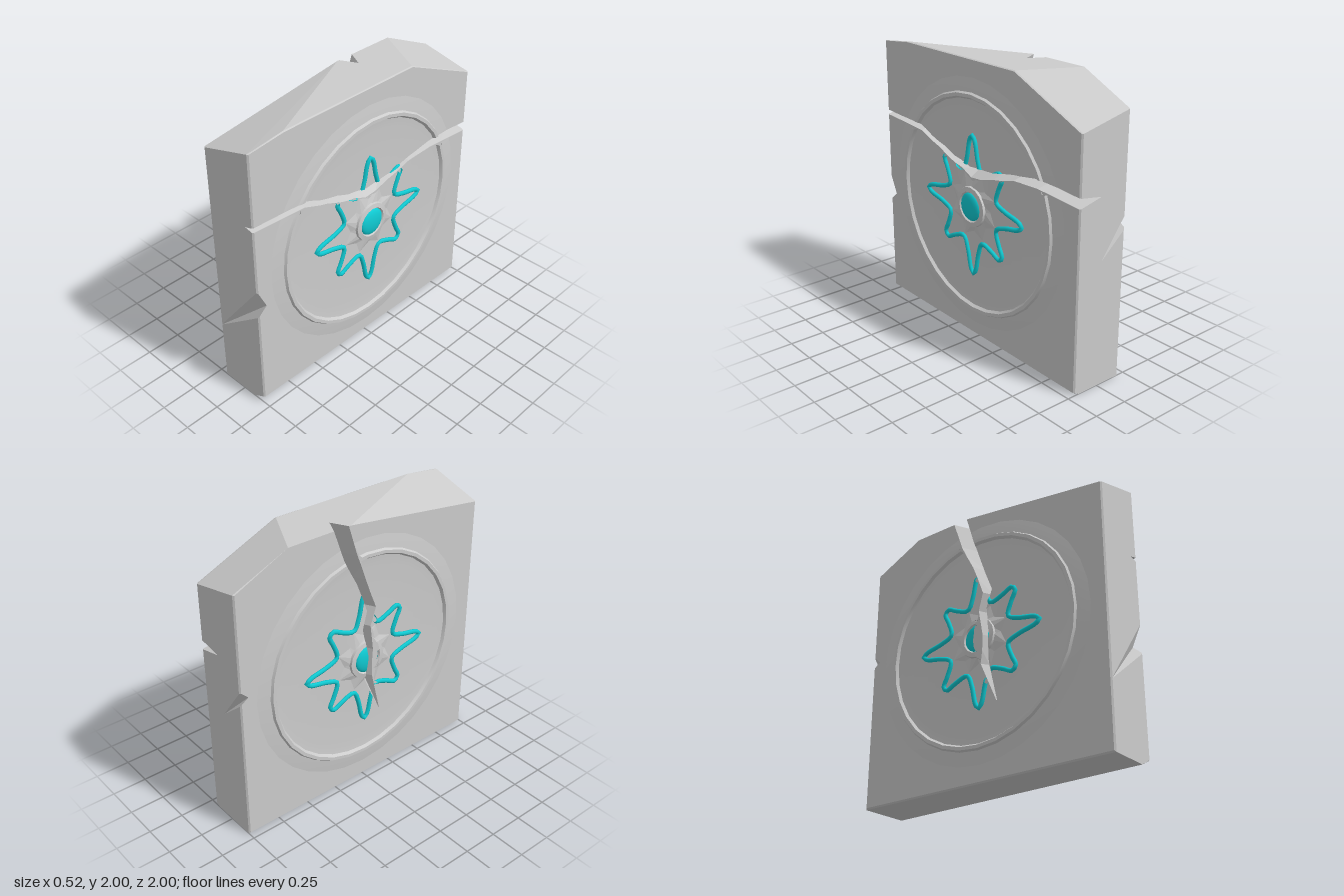
import * as THREE from 'three';
import { toCreasedNormals } from 'three/addons/utils/BufferGeometryUtils.js';
import { ConvexGeometry } from 'three/addons/geometries/ConvexGeometry.js';

const V = (x, y, z) => new THREE.Vector3(x, y, z);
const stone = new THREE.MeshStandardMaterial({ color: 0xcccccc, side: THREE.DoubleSide });
const glow = new THREE.MeshStandardMaterial({ color: 0x10ccd4, side: THREE.DoubleSide });

// --- polygon helpers: a polygon is a list of { p, n } corners ---
function toPolys(geometry) {
  const g = geometry.index ? geometry.toNonIndexed() : geometry;
  const { position, normal } = g.attributes;
  const polys = [];
  for (let i = 0; i < position.count; i += 3) {
    polys.push([0, 1, 2].map(k => ({
      p: V().fromBufferAttribute(position, i + k), n: V().fromBufferAttribute(normal, i + k),
    })));
  }
  return polys;
}

function toMesh(name, polys, material) {
  const pos = [], nor = [];
  for (const poly of polys) {
    for (let i = 1; i < poly.length - 1; i++) {
      for (const c of [poly[0], poly[i], poly[i + 1]]) {
        pos.push(c.p.x, c.p.y, c.p.z);
        nor.push(c.n.x, c.n.y, c.n.z);
      }
    }
  }
  const g = new THREE.BufferGeometry();
  g.setAttribute('position', new THREE.Float32BufferAttribute(pos, 3));
  g.setAttribute('normal', new THREE.Float32BufferAttribute(nor, 3));
  const mesh = new THREE.Mesh(g, material);
  mesh.name = name;
  return mesh;
}

// Split a polygon by a plane into [outside, inside]; a missing half is null
function split(poly, plane) {
  const d = poly.map(c => {
    const v = plane.distanceToPoint(c.p);
    return Math.abs(v) < 1e-6 ? 0 : v;
  });
  if (!d.some(v => v > 0)) return [null, poly];
  if (!d.some(v => v < 0)) return [poly, null];
  const outside = [], inside = [];
  poly.forEach((a, i) => {
    const j = (i + 1) % poly.length, b = poly[j];
    if (d[i] >= 0) outside.push(a);
    if (d[i] <= 0) inside.push(a);
    if (d[i] * d[j] < 0) {
      const t = d[i] / (d[i] - d[j]);
      const c = { p: a.p.clone().lerp(b.p, t), n: a.n.clone().lerp(b.n, t).normalize() };
      outside.push(c);
      inside.push(c);
    }
  });
  return [outside, inside];
}

// Outward planes of a tetrahedron, or null when it is flat
function tetraPlanes(t) {
  const volume = t[1].clone().sub(t[0]).cross(t[2].clone().sub(t[0])).dot(t[3].clone().sub(t[0]));
  if (Math.abs(volume) < 1e-9) return null;
  return [0, 1, 2, 3].map(k => {
    const [a, b, c] = t.filter((_, i) => i !== k);
    const plane = new THREE.Plane().setFromCoplanarPoints(a, b, c);
    return plane.distanceToPoint(t[k]) > 0 ? plane.negate() : plane;
  });
}

// Remove everything that lies inside the cutters
function carve(polys, cutters) {
  for (const planes of cutters) {
    polys = polys.flatMap(poly => {
      const kept = [];
      let rest = poly;
      for (const plane of planes) {
        const [o, i] = split(rest, plane);
        if (!i) return [poly];
        if (o) kept.push(o);
        rest = i;
      }
      return kept;
    });
  }
  return polys;
}

// V-shaped groove through stations [lipA, lipB, bottom]: its cutters and wall polygons
function groove(stations, reach) {
  const S = stations.map(([a, b, c, depth]) => {
    const k = 1 + reach / Math.max(depth, 0.03);
    return [c.clone().lerp(a, k), c.clone().lerp(b, k), c];
  });
  const cutters = [], walls = [];
  for (let i = 0; i < S.length - 1; i++) {
    const [A0, B0, C0] = S[i], [A1, B1, C1] = S[i + 1];
    for (const t of [[A0, B0, C0, C1], [A0, B0, B1, C1], [A0, A1, B1, C1]]) {
      const planes = tetraPlanes(t);
      if (planes) cutters.push(planes);
    }
    for (const [a, b, c, toward] of [[A0, C0, C1, B1], [A0, C1, A1, B1], [B0, C0, C1, A1], [B0, C1, B1, A1]]) {
      const n = b.clone().sub(a).cross(c.clone().sub(a));
      if (n.length() < 1e-9) continue;
      n.normalize();
      const flip = n.dot(toward.clone().sub(c)) < 0;
      if (flip) n.negate();
      walls.push((flip ? [a, c, b] : [a, b, c]).map(p => ({ p, n })));
    }
  }
  return { cutters, walls };
}

export function createModel() {
  const group = new THREE.Group();

  // Slab: uneven top, bevelled bottom edge, slim bevels on the upright edges
  const corners = [];
  const addEdge = (x, z, top, bottom) => corners.push(
    V(x, top, z * 0.99), V(x * 0.95, top, z), V(x, bottom, z * 0.99), V(x * 0.95, bottom, z));
  addEdge(0.2, 1, 1.965, 0.05);
  addEdge(-0.2, 1, 1.85, 0.01);
  addEdge(0.2, -1, 1.74, 0.018);
  addEdge(-0.2, -1, 1.82, 0.01);
  corners.push(V(0.2, 1.995, 0.72), V(0.19, 2, 0.72), V(0.2, 1.995, -0.4), V(0.19, 2, -0.4),
    V(-0.2, 2, -0.12), V(-0.2, 2, -0.6),
    V(0.1, 0, 1), V(0.16, 0, -1), V(-0.19, 0, 1), V(-0.19, 0, -1));
  const slab = toPolys(new ConvexGeometry(corners));
  const slabPlanes = slab.map(t => new THREE.Plane().setFromCoplanarPoints(...t.map(c => c.p)));

  // Crack across the right-hand face: z, upper lip, lower lip, bottom, depth
  const sideCrack = [
    [1.05, 1.46, 1.425, 1.437, 0.07], [0.58, 1.44, 1.395, 1.41, 0.07], [0.45, 1.385, 1.345, 1.36, 0.07],
    [0.3, 1.345, 1.29, 1.315, 0.07], [0.2, 1.305, 1.255, 1.275, 0.07], [0.03, 1.27, 1.195, 1.245, 0.08],
    [-0.2, 1.285, 1.24, 1.265, 0.08], [-0.4, 1.33, 1.29, 1.31, 0.1], [-0.63, 1.365, 1.3, 1.33, 0.14],
    [-1.05, 1.34, 1.27, 1.31, 0.18],
  ].map(([z, a, b, c, d]) => [V(0.2, a, z), V(0.2, b, z), V(0.2 - d, c, z), d]);

  // Crack running down the other face: y, z, half width, depth
  const downCrack = [
    [2.08, -0.22, 0.06, 0.12], [1.78, -0.12, 0.055, 0.11], [1.58, -0.03, 0.04, 0.09], [1.35, 0.06, 0.04, 0.08],
    [1.22, 0.02, 0.035, 0.07], [1.03, 0.05, 0.03, 0.06], [0.82, 0.04, 0.035, 0.05], [0.5, 0.15, 0, 0],
  ].map(([y, z, w, d]) => [V(-0.2, y, z - w), V(-0.2, y, z + w), V(-0.2 + d, y, z), d]);

  // Edge chips: a point widening into a notch just past the slab's edge
  const chip = (tip, ...notch) => [[tip, tip, tip, 0],
    [...notch.map(p => tip.clone().lerp(p, 1.1)), 0.06]];
  const grooves = [
    groove(sideCrack, 0.06), groove(downCrack, 0.06),
    groove(chip(V(-0.2, 0.45, 1), V(0.2, 0.97, 1), V(0.2, 0.76, 1), V(0.2, 0.82, 0.93)), 0.06),
    groove(chip(V(0, 0.88, -1), V(-0.2, 1.15, -1), V(-0.2, 1.05, -1), V(-0.2, 1.09, -0.94)), 0.06),
  ];
  const cutters = grooves.flatMap(g => g.cutters);
  const walls = grooves.flatMap(g => g.walls)
    .map(w => slabPlanes.reduce((poly, plane) => poly && split(poly, plane)[1], w))
    .filter(Boolean);
  group.add(toMesh('slab', carve(slab, cutters), stone), toMesh('crackWalls', walls, stone));

  // Face ornaments, modelled lying flat (y = height above the face)
  const lathe = (points, sides) => toCreasedNormals(
    new THREE.LatheGeometry(points.map(p => new THREE.Vector2(...p)), sides), 0.5);
  const ring = lathe([[0.88, 0], [0.83, 0.007], [0.785, 0.012], [0.775, 0.028], [0.752, 0.028],
    [0.738, 0.009], [0.68, 0.004], [0.3, 0.006], [0.13, 0.008]], 32);
  const boss = lathe([[0.15, 0], [0.14, 0.036], [0.108, 0.042], [0.098, 0.028]], 16);
  const gem = new THREE.SphereGeometry(0.1, 20, 8, 0, Math.PI * 2, 0, Math.PI / 2)
    .scale(1, 0.3, 1).translate(0, 0.028, 0);

  // Faceted rosette whose ridges run out to the star's valleys
  let rosette = new THREE.CylinderGeometry(0.13, 0.25, 0.02, 16, 1, true);
  const rp = rosette.attributes.position;
  for (let i = 0; i < rp.count; i++) {
    if (rp.getY(i) < 0 && (i % 17) % 2 === 0) {
      rp.setXYZ(i, rp.getX(i) * 0.75, rp.getY(i), rp.getZ(i) * 0.75);
    }
  }
  rosette = rosette.toNonIndexed().translate(0, 0.015, 0);
  rosette.computeVertexNormals();

  // Eight-pointed star outline: one quarter turned four times
  const quarter = [[0.498, 0], [0.465, 0.026], [0.33, 0.058], [0.245, 0.098],
    [0.272, 0.2], [0.305, 0.275], [0.275, 0.305], [0.2, 0.272], [0.098, 0.245], [0.058, 0.33], [0.026, 0.465]];
  const path = [0, 1, 2, 3].flatMap(q => quarter.map(([x, z]) =>
    V(x, 0.01, z).applyAxisAngle(V(0, 1, 0), -q * Math.PI / 2)));
  const star = new THREE.TubeGeometry(new THREE.CatmullRomCurve3(path, true), 144, 0.017, 6, true);

  // Put the same ornaments on both faces and let the cracks run through them
  for (const [side, s] of [['left', 1], ['right', -1]]) {
    const ornament = new THREE.Group();
    ornament.name = side + 'Ornament';
    for (const [name, geometry, material] of [['ring', ring, stone], ['rosette', rosette, stone],
      ['boss', boss, stone], ['gem', gem, glow], ['star', star, glow]]) {
      const placed = geometry.clone().translate(0, 0.2, 0).rotateZ(-s * Math.PI / 2).translate(0, 1, 0);
      ornament.add(toMesh(name, carve(toPolys(placed), cutters), material));
    }
    group.add(ornament);
  }
  return group;
}
